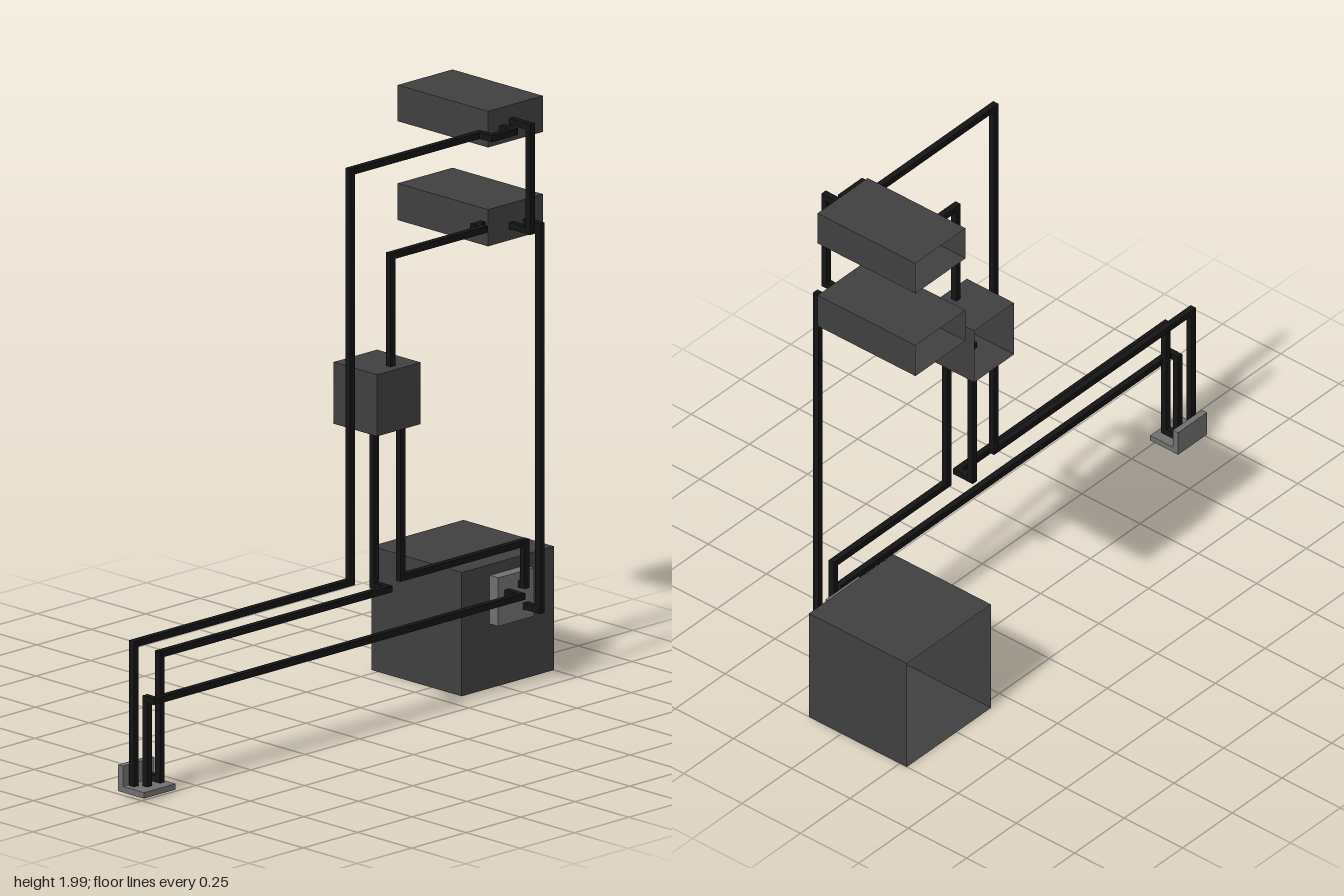
import * as THREE from 'three';

const caseMat = new THREE.MeshStandardMaterial({ color: 0x404040, side: THREE.DoubleSide });
const plateMat = new THREE.MeshStandardMaterial({ color: 0x707070 });
const pipeMat = new THREE.MeshStandardMaterial({ color: 0x141414 });
const W = 0.022; // pipe width

// Box given by its lower and upper corner
function box(name, lo, hi, mat) {
  const size = hi.map((v, i) => v - lo[i]);
  const mesh = new THREE.Mesh(new THREE.BoxGeometry(...size), mat);
  mesh.position.set(...hi.map((v, i) => (v + lo[i]) / 2));
  mesh.name = name;
  return mesh;
}

// Thin-walled case without its back wall
function openCase(name, lo, hi) {
  const mesh = box(name, lo, hi, caseMat);
  const g = mesh.geometry;
  const index = Array.from(g.index.array);
  g.setIndex(index.slice(0, 30)); // the last six indices are the back
  g.clearGroups();
  return mesh;
}

// Square pipe through axis-aligned corner points
function pipe(name, points) {
  const group = new THREE.Group();
  group.name = name;
  for (let i = 1; i < points.length; i++) {
    const a = points[i - 1], b = points[i];
    const lo = a.map((v, k) => Math.min(v, b[k]) - W / 2);
    const hi = a.map((v, k) => Math.max(v, b[k]) + W / 2);
    group.add(box('pipeSection', lo, hi, pipeMat));
  }
  return group;
}

export function createModel() {
  const model = new THREE.Group();
  model.name = 'pipedCases';

  // Cases
  model.add(
    openCase('largeCase', [0.577, 0, -0.28], [1, 0.422, 0.14]),
    openCase('middleCase', [0.09, 1.01, 0.037], [0.29, 1.22, 0.24]),
    openCase('lowerShelfCase', [0.658, 1.525, -0.24], [0.91, 1.65, 0.18]),
    openCase('upperShelfCase', [0.658, 1.862, -0.24], [0.91, 1.985, 0.18])
  );

  // Connection plate on the large case
  model.add(box('frontPlate', [0.705, 0.22, 0.14], [0.87, 0.385, 0.18], plateMat));

  // L-shaped bracket
  const bracket = new THREE.Group();
  bracket.name = 'bracket';
  bracket.add(
    box('bracketFoot', [-1, 0.01, 0.14], [-0.855, 0.03, 0.26], plateMat),
    box('bracketBack', [-1, 0.01, 0.14], [-0.855, 0.1, 0.162], plateMat)
  );
  model.add(bracket);

  // Pipes
  model.add(
    pipe('upperShelfPipe', [
      [0.72, 1.915, 0.18], [0.72, 1.915, 0.235], [0.62, 1.915, 0.235], [0.62, 1.915, 0.18],
      [0.025, 1.915, 0.18], [0.025, 0.515, 0.18], [-0.967, 0.515, 0.18], [-0.967, 0.035, 0.18]
    ]),
    pipe('lowerShelfPipe', [
      [0.67, 1.595, 0.158], [0.62, 1.595, 0.158], [0.62, 1.595, 0.197],
      [0.195, 1.595, 0.197], [0.195, 1.2, 0.197]
    ]),
    pipe('shelfLink', [
      [0.765, 1.93, 0.18], [0.765, 1.93, 0.267], [0.765, 1.575, 0.267], [0.765, 1.575, 0.18]
    ]),
    pipe('shelfToPlatePipe', [
      [0.83, 1.573, 0.18], [0.83, 1.573, 0.247], [0.83, 0.265, 0.247], [0.83, 0.265, 0.18]
    ]),
    pipe('middleToPlatePipe', [
      [0.237, 1.02, 0.2], [0.237, 0.49, 0.2], [0.807, 0.49, 0.2],
      [0.807, 0.345, 0.2], [0.807, 0.345, 0.18]
    ]),
    pipe('middleToBracketPipe', [
      [0.15, 1.02, 0.165], [0.15, 0.475, 0.165], [0.15, 0.475, 0.228],
      [-0.895, 0.475, 0.228], [-0.895, 0.048, 0.228], [-0.895, 0.048, 0.16]
    ]),
    pipe('plateToBracketPipe', [
      [0.745, 0.327, 0.18], [0.745, 0.327, 0.243], [-0.937, 0.327, 0.243],
      [-0.937, 0.327, 0.212], [-0.937, 0.035, 0.212]
    ])
  );
  return model;
}
